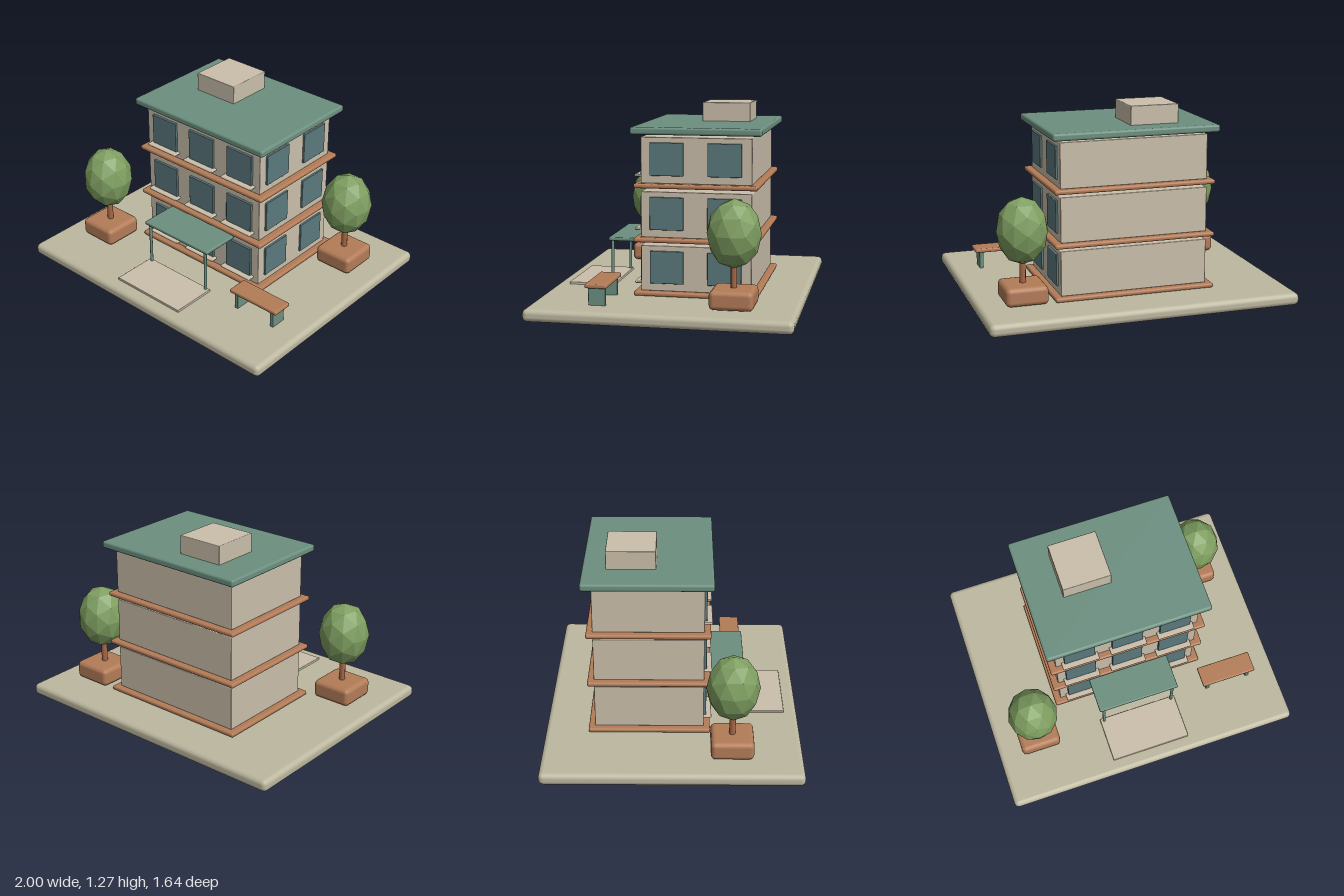
import * as THREE from 'three';
import { RoundedBoxGeometry } from 'three/addons/geometries/RoundedBoxGeometry.js';

const paint = (color, extra = {}) => new THREE.MeshStandardMaterial({ color, ...extra });
const stone = paint(0xbdb8a0);
const plaster = paint(0xcbbfab);
const brick = paint(0xb47c58);
const green = paint(0x6c9080);
const glass = paint(0x5c7a7e);
const bark = paint(0xa5694a);
const leaf = paint(0x7f9f61, { flatShading: true });

export function createModel() {
  const model = new THREE.Group();
  model.name = 'apartmentBlock';

  // Box given by its [min, max] on each axis, with softened edges
  function box(name, material, [x0, x1], [y0, y1], [z0, z1], radius = 0.005, parent = model) {
    const geometry = new RoundedBoxGeometry(x1 - x0, y1 - y0, z1 - z0, 2, radius);
    const mesh = new THREE.Mesh(geometry, material);
    mesh.name = name;
    mesh.position.set((x0 + x1) / 2, (y0 + y1) / 2, (z0 + z1) / 2);
    parent.add(mesh);
    return mesh;
  }

  // Ground slab
  box('groundSlab', stone, [-1, 1], [0.005, 0.085], [-0.82, 0.82], 0.032);

  // Three equal storeys: belt course, walls, windows and sills
  for (let i = 0; i < 3; i++) {
    const storey = new THREE.Group();
    storey.name = `storey${i + 1}`;
    storey.position.y = 0.086 + i * 0.341;
    model.add(storey);
    box('beltCourse', brick, [-0.523, 0.523], [0, 0.029], [-0.54, 0.24], 0.012, storey);
    box('walls', plaster, [-0.48, 0.48], [0.028, 0.317], [-0.5, 0.2], 0.005, storey);
    for (const x of [-0.32, 0, 0.32]) {
      box('frontWindow', glass, [x - 0.103, x + 0.103], [0.077, 0.284], [0.19, 0.216], 0.004, storey);
      box('windowSill', plaster, [x - 0.122, x + 0.122], [0.064, 0.079], [0.195, 0.25], 0.006, storey);
    }
    for (const z of [0.035, -0.33]) {
      box('sideWindow', glass, [0.47, 0.493], [0.077, 0.284], [z - 0.107, z + 0.107], 0.004, storey);
    }
  }

  // Roof and rooftop plant room
  box('roof', green, [-0.54, 0.54], [1.103, 1.15], [-0.565, 0.257], 0.015);
  box('roofHut', plaster, [-0.315, 0], [1.145, 1.271], [-0.417, -0.103], 0.005);

  // Entrance canopy, posts and doorstep paving
  box('canopy', green, [-0.275, 0.275], [0.384, 0.408], [0.205, 0.465], 0.008);
  for (const x of [-0.243, 0.243]) {
    const post = new THREE.Mesh(new THREE.CylinderGeometry(0.01, 0.01, 0.305, 10), green);
    post.name = 'canopyPost';
    post.position.set(x, 0.237, 0.445);
    model.add(post);
  }
  box('entrancePath', plaster, [-0.27, 0.27], [0.08, 0.1], [0.43, 0.733], 0.004);

  // Bench
  box('benchSeat', brick, [0.47, 0.845], [0.195, 0.222], [0.33, 0.468], 0.009);
  for (const x of [0.513, 0.802]) {
    box('benchLeg', green, [x - 0.013, x + 0.013], [0.083, 0.198], [0.346, 0.453], 0.003);
  }

  // Trees in planters
  for (const [x, z] of [[-0.708, 0.375], [0.705, -0.425]]) {
    const tree = new THREE.Group();
    tree.name = 'plantedTree';
    tree.position.set(x, 0, z);
    model.add(tree);
    box('planter', brick, [-0.135, 0.135], [0.09, 0.209], [-0.135, 0.135], 0.03, tree);
    const trunk = new THREE.Mesh(new THREE.CylinderGeometry(0.02, 0.02, 0.2, 8), bark);
    trunk.name = 'trunk';
    trunk.position.y = 0.295;
    const crown = new THREE.Mesh(new THREE.IcosahedronGeometry(1, 1), leaf);
    crown.name = 'crown';
    crown.scale.set(0.163, 0.213, 0.167);
    crown.position.y = 0.538;
    tree.add(trunk, crown);
  }

  return model;
}
